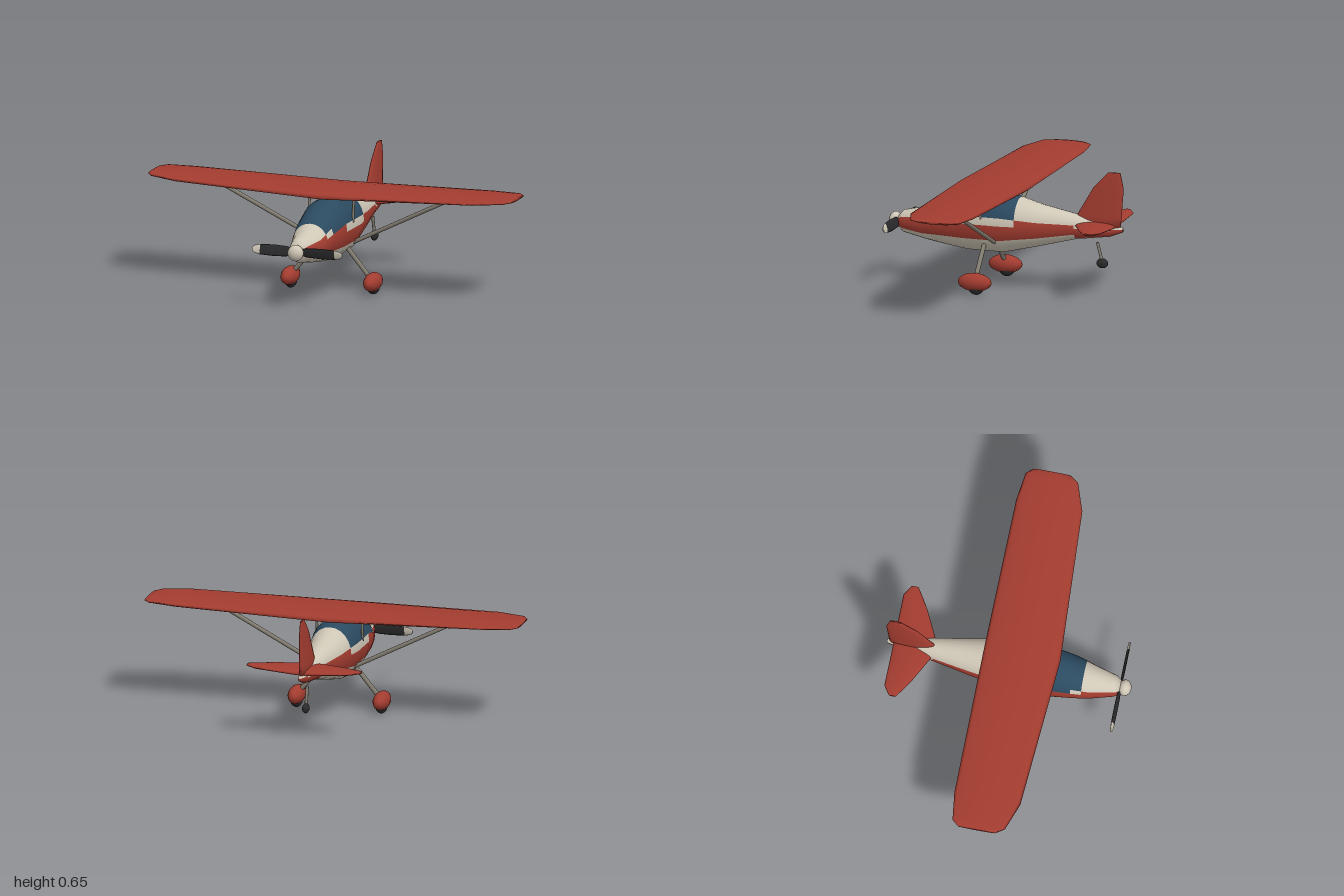
import * as THREE from 'three';

const mat = (color, extra = {}) => new THREE.MeshStandardMaterial({ color, ...extra });
const V = (x, y, z) => new THREE.Vector3(x, y, z);

// Skin a list of closed rings, closing both ends. Cells are sorted by paint(i, j)
// into geometries that share one set of smooth normals.
function loft(rings, paint = () => 'all') {
  const n = rings[0].length;
  const close = ring => {
    const c = ring.reduce((s, p) => s.add(p), V(0, 0, 0)).divideScalar(n);
    return ring.map(() => c);
  };
  const all = [close(rings[0]), ...rings, close(rings[rings.length - 1])];
  const pts = all.flat();
  let volume = 0;
  const tris = [];
  for (let i = 0; i < all.length - 1; i++) {
    for (let j = 0; j < n; j++) {
      const a = i * n + j, b = i * n + (j + 1) % n, c = b + n, d = a + n;
      for (const t of [[a, d, b], [b, d, c]]) {
        tris.push({ t, key: paint(i - 1, j) });
        volume += pts[t[0]].dot(pts[t[1]].clone().cross(pts[t[2]]));
      }
    }
  }
  if (volume < 0) tris.forEach(({ t }) => t.reverse());
  const base = new THREE.BufferGeometry().setFromPoints(pts);
  base.setIndex(tris.flatMap(({ t }) => t));
  base.computeVertexNormals();
  const result = {};
  for (const key of new Set(tris.map(t => t.key))) {
    const g = new THREE.BufferGeometry();
    g.setAttribute('position', base.attributes.position);
    g.setAttribute('normal', base.attributes.normal);
    g.setIndex(tris.filter(t => t.key === key).flatMap(({ t }) => t));
    result[key] = g;
  }
  return result;
}

// Oval section: place(chordwise, thickness) turns it into a point.
const oval = (n, front, back, thick, place) =>
  Array.from({ length: n }, (_, k) => {
    const a = (k / n) * Math.PI * 2;
    return place((front + back) / 2 + (front - back) / 2 * Math.cos(a), thick / 2 * Math.sin(a));
  });

// Mirror half-span stations to both sides; station = [x, leading z, trailing z, y, thickness]
function span(half) {
  const full = [...half.slice(1).reverse().map(([x, ...r]) => [-x, ...r]), ...half];
  return loft(full.map(([x, f, b, y, t]) => oval(16, f, b, t, (c, h) => V(x, y + h, c)))).all;
}

export function createModel() {
  const model = new THREE.Group();
  const red = mat(0xa33c30), cream = mat(0xcfc7b6), blue = mat(0x2b4a60);
  const black = mat(0x2b2b2d), metal = mat(0x827c70);

  const add = (name, geometry, material, parent = model) => {
    const mesh = new THREE.Mesh(geometry, material);
    mesh.name = name;
    parent.add(mesh);
    return mesh;
  };
  const rod = (name, a, b, r, parent) => {
    const m = add(name, new THREE.CylinderGeometry(r, r, a.distanceTo(b), 10), metal, parent);
    m.position.copy(a).add(b).multiplyScalar(0.5);
    m.quaternion.setFromUnitVectors(V(0, 1, 0), b.clone().sub(a).normalize());
  };
  const ball = (name, p, s, material, parent) => {
    const m = add(name, new THREE.SphereGeometry(1, 14, 10), material, parent);
    m.position.copy(p);
    m.scale.copy(s);
  };

  // Fuselage stations: z, top, bottom, half width, stripe from / to in degrees
  const body = [
    [0.585, 0.34, 0.27, 0.036, -30, 30],
    [0.56, 0.364, 0.247, 0.055, -30, 30],
    [0.44, 0.39, 0.222, 0.088, -30, 30],
    [0.395, 0.418, 0.214, 0.099, -30, 15],
    [0.34, 0.45, 0.205, 0.11, -30, 15],
    [0.2, 0.505, 0.185, 0.128, -30, 0],
    [0, 0.505, 0.185, 0.128, -30, 0],
    [-0.08, 0.483, 0.205, 0.114, -30, 15],
    [-0.19, 0.453, 0.232, 0.095, -30, 15],
    [-0.39, 0.415, 0.285, 0.06, -60, 0],
    [-0.57, 0.373, 0.31, 0.025, -90, 15],
    [-0.64, 0.363, 0.338, 0.01, -90, 15],
  ];
  const SEG = 24;
  const bodyRings = body.map(([z, top, bottom, w]) =>
    Array.from({ length: SEG }, (_, k) => {
      const a = (k / SEG) * Math.PI * 2;
      return V(w * Math.cos(a), (top + bottom) / 2 + (top - bottom) / 2 * Math.sin(a), z);
    }));
  const paints = { fuselage: cream, sideStripe: red, cabinGlass: blue };
  const skins = loft(bodyRings, (i, j) => {
    const s = body[Math.max(0, Math.min(i, body.length - 1))];
    // elevation of the middle of this cell, the same on both sides
    const elevation = Math.asin(Math.sin((j + 0.5) / SEG * Math.PI * 2)) * 180 / Math.PI;
    if (elevation > s[4] && elevation < s[5]) return 'sideStripe';
    if (i >= 3 && i <= 6 && elevation > (i === 3 ? 30 : 15)) return 'cabinGlass';
    return 'fuselage';
  });
  for (const key in skins) add(key, skins[key], paints[key]);

  // Wing and tail surfaces
  add('wing', span([
    [0, 0.27, -0.13, 0.529, 0.062],
    [0.82, 0.222, -0.125, 0.546, 0.036],
    [0.97, 0.17, -0.105, 0.55, 0.024],
    [1, 0.125, -0.07, 0.55, 0.016],
  ]), red);
  add('tailplane', span([
    [0, -0.385, -0.605, 0.365, 0.042],
    [0.06, -0.4, -0.605, 0.368, 0.038],
    [0.2, -0.47, -0.605, 0.378, 0.026],
    [0.255, -0.503, -0.605, 0.382, 0.02],
    [0.305, -0.535, -0.572, 0.385, 0.012],
  ]), red);
  const fin = [ // y, leading z, trailing z, thickness
    [0.36, -0.36, -0.628, 0.045],
    [0.415, -0.39, -0.633, 0.042],
    [0.567, -0.48, -0.645, 0.026],
    [0.65, -0.56, -0.628, 0.014],
  ];
  add('fin', loft(fin.map(([y, f, b, t]) => oval(16, f, b, t, (c, h) => V(h, y, c)))).all, red);

  // Struts and main landing gear, mirrored
  for (const s of [1, -1]) {
    const side = new THREE.Group();
    side.name = s > 0 ? 'leftStrutsAndGear' : 'rightStrutsAndGear';
    model.add(side);
    rod('wingStrut', V(s * 0.1, 0.255, 0.03), V(s * 0.65, 0.53, 0.062), 0.011, side);
    rod('cabinStrut', V(s * 0.122, 0.375, 0.1), V(s * 0.122, 0.52, 0.088), 0.007, side);
    rod('gearLeg', V(s * 0.075, 0.25, 0.09), V(s * 0.222, 0.075, 0.09), 0.012, side);
    ball('wheelFairing', V(s * 0.228, 0.066, 0.09), V(0.043, 0.048, 0.092), red, side);
    ball('wheel', V(s * 0.228, 0.04, 0.083), V(0.032, 0.04, 0.042), black, side);
  }

  // Tail wheel
  rod('tailWheelLeg', V(0, 0.275, -0.5), V(0, 0.175, -0.526), 0.008);
  ball('tailWheel', V(0, 0.166, -0.527), V(0.018, 0.026, 0.032), black);

  // Propeller: slightly twisted blades with pale tips
  const propeller = new THREE.Group();
  propeller.name = 'propeller';
  propeller.position.set(0, 0.307, 0.585);
  model.add(propeller);
  const blade = [[0.01, 0.03], [0.06, 0.052], [0.13, 0.058], [0.205, 0.052], [0.235, 0.04], [0.248, 0.018]];
  for (const turn of [0, Math.PI]) {
    const parts = loft(blade.map(([x, w]) => oval(12, w / 2, -w / 2, 0.011, (c, h) =>
      V(x, c, h + c * 0.25))), i => (i >= 3 ? 'tip' : 'blade'));
    add('blade', parts.blade, black, propeller).rotation.z = turn;
    add('bladeTip', parts.tip, cream, propeller).rotation.z = turn;
  }
  ball('spinner', V(0, 0, 0.024), V(0.043, 0.043, 0.034), cream, propeller);
  return model;
}
